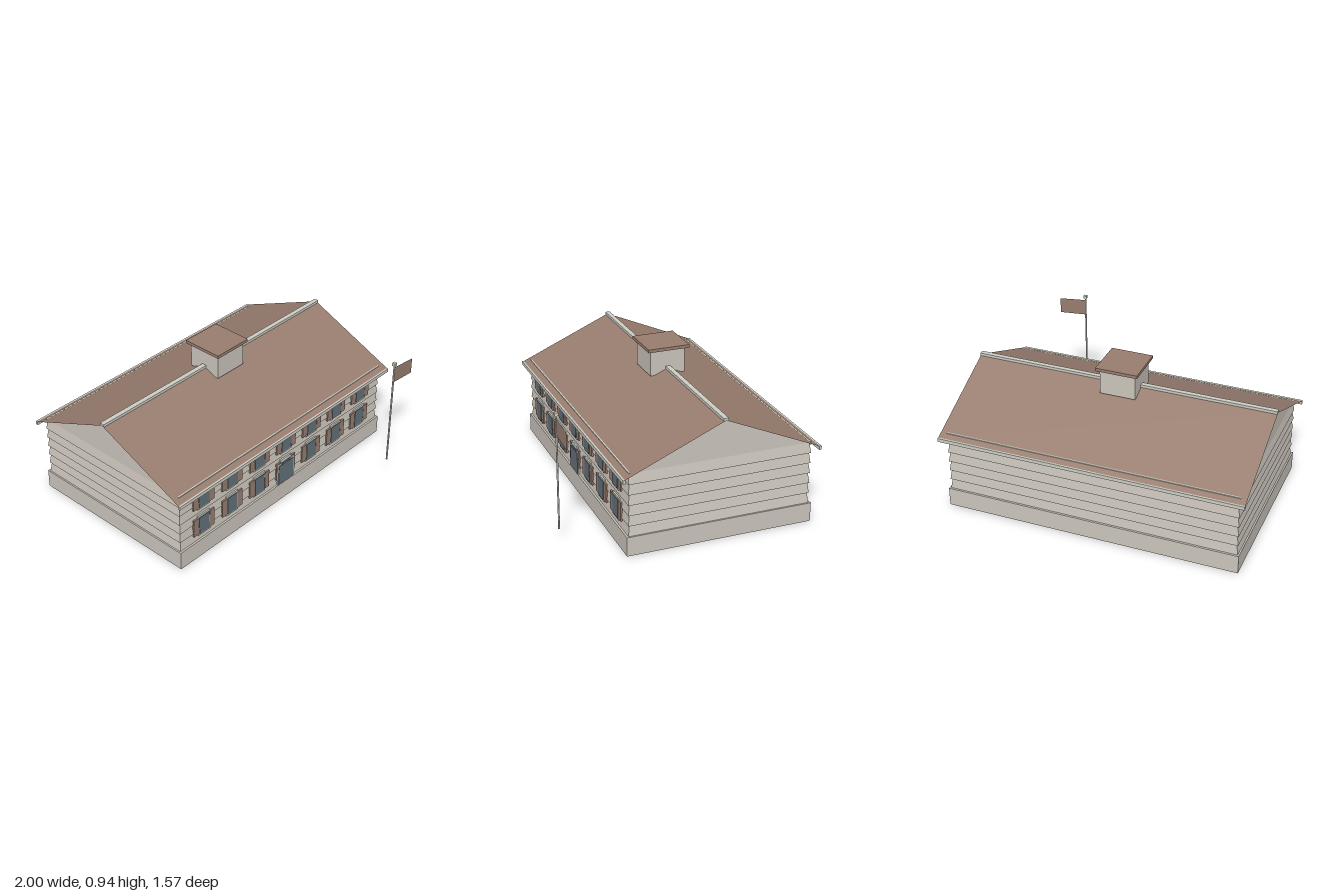
import * as THREE from 'three';

export function createModel() {
  const model = new THREE.Group();
  model.name = 'longHouse';
  const mat = (name, color) => {
    const m = new THREE.MeshStandardMaterial({ color, side: THREE.DoubleSide });
    m.name = name;
    return m;
  };
  const beige = mat('pale siding', 0xcac4bb);
  const trim = mat('pale trim', 0xcdcdc4);
  const brown = mat('dusty brown', 0x987d6f);
  const glass = mat('slate glass', 0x64707a);

  const add = (name, geo, material, parent = model) => {
    const mesh = new THREE.Mesh(geo, material);
    mesh.name = name;
    parent.add(mesh);
    return mesh;
  };
  // Box given by its limits on each axis
  const box = (name, material, [x0, x1], [y0, y1], [z0, z1], parent) => {
    const geo = new THREE.BoxGeometry(x1 - x0, y1 - y0, z1 - z0);
    geo.translate((x0 + x1) / 2, (y0 + y1) / 2, (z0 + z1) / 2);
    return add(name, geo, material, parent);
  };

  const midZ = -0.145, halfX = 0.957, halfZ = 0.589;
  const baseY = 0.125, eaveY = 0.53;

  // Foundation, a shell open underneath
  const shell = new THREE.BoxGeometry(1.94, baseY, 1.21);
  const faces = Array.from(shell.index.array);
  faces.splice(18, 6);
  shell.setIndex(faces);
  shell.clearGroups();
  shell.translate(0, baseY / 2, midZ);
  add('foundation', shell, beige);

  // Clapboard walls: each board leans in towards its top
  const walls = new THREE.Group();
  walls.name = 'walls';
  model.add(walls);
  const boards = 6, boardH = (eaveY - baseY) / boards;
  for (let i = 0; i < boards; i++) {
    const geo = new THREE.BoxGeometry(2 * halfX + 0.006, boardH, 2 * halfZ + 0.006);
    const p = geo.attributes.position;
    for (let v = 0; v < p.count; v++) {
      if (p.getY(v) < 0) continue;
      p.setX(v, p.getX(v) - Math.sign(p.getX(v)) * 0.011);
      p.setZ(v, p.getZ(v) - Math.sign(p.getZ(v)) * 0.009);
    }
    geo.computeVertexNormals();
    geo.translate(0, baseY + boardH * (i + 0.5), midZ);
    add('clapboard', geo, beige, walls);
  }

  // Gable ends, one prism under the roof
  const tri = new THREE.Shape([
    new THREE.Vector2(-halfZ, eaveY),
    new THREE.Vector2(halfZ, eaveY),
    new THREE.Vector2(0, 0.78),
  ]);
  const gable = new THREE.ExtrudeGeometry(tri, { depth: 1.9, bevelEnabled: false });
  gable.translate(0, 0, -0.95);
  gable.rotateY(Math.PI / 2);
  gable.translate(0, 0, midZ);
  add('gables', gable, beige);

  // Roof slopes, eave boards and wall plates, mirrored about the ridge
  const run = 0.632, rise = 0.274;
  for (const s of [1, -1]) {
    const slope = new THREE.PlaneGeometry(2, Math.hypot(run, rise));
    slope.rotateX(-Math.PI / 2 + Math.atan2(rise, run));
    slope.translate(0, 0.79 - rise / 2, run / 2);
    if (s < 0) slope.rotateY(Math.PI);
    slope.translate(0, 0, midZ);
    add(s > 0 ? 'frontRoof' : 'backRoof', slope, brown);

    const edge = (a, b) => [midZ + s * a, midZ + s * b].sort((m, n) => m - n);
    box('eaveBoard', trim, [-1, 1], [0.494, 0.518], edge(0.624, 0.64));
    box('wallPlate', trim, [-0.96, 0.96], [0.52, 0.539], edge(0.58, 0.59));
  }
  box('ridgeCap', trim, [-1, 1], [0.786, 0.804], [midZ - 0.016, midZ + 0.016]);

  // Chimney
  box('chimney', beige, [-0.117, 0.117], [0.75, 0.915], [-0.26, -0.026]);
  box('chimneyCap', brown, [-0.138, 0.138], [0.915, 0.936], [-0.283, -0.005]);

  // Front windows with shutters, seven to a row, and the door
  const front = new THREE.Group();
  front.name = 'frontOpenings';
  model.add(front);
  const wallZ = 0.442;
  for (let col = -3; col <= 3; col++) {
    const x = col * 0.252;
    for (const y of [0.171, 0.37]) {
      const isDoor = col === 0 && y < 0.3;
      box('windowFrame', trim, [x - 0.052, x + 0.052], [y - 0.014, y + 0.136], [wallZ, 0.452], front);
      box('windowGlass', glass, [x - 0.044, x + 0.044], [y - 0.003, y + (isDoor ? 0.113 : 0.122)], [wallZ, 0.456], front);
      for (const s of [-1, 1]) {
        const sx = [x + s * 0.049, x + s * 0.09].sort((a, b) => a - b);
        box('shutter', brown, sx, [y - 0.001, y + 0.122], [wallZ, 0.4535], front);
      }
    }
  }
  box('doorFrame', trim, [-0.08, 0.08], [baseY, 0.283], [wallZ, 0.4545], front);
  box('door', glass, [-0.07, 0.07], [baseY, 0.271], [wallZ, 0.458], front);

  // Flagpole with its flag
  const flagpole = new THREE.Group();
  flagpole.name = 'flagpole';
  flagpole.position.set(0.657, 0, 0.775);
  model.add(flagpole);
  const pole = new THREE.CylinderGeometry(0.006, 0.006, 0.745, 8);
  pole.translate(0, 0.4625, 0);
  add('pole', pole, trim, flagpole);
  box('finial', trim, [-0.011, 0.011], [0.828, 0.848], [-0.011, 0.011], flagpole);
  const flag = new THREE.Shape([
    new THREE.Vector2(0.005, 0.7),
    new THREE.Vector2(0.193, 0.684),
    new THREE.Vector2(0.193, 0.792),
    new THREE.Vector2(0.005, 0.812),
  ]);
  add('flag', new THREE.ShapeGeometry(flag), brown, flagpole);

  return model;
}
